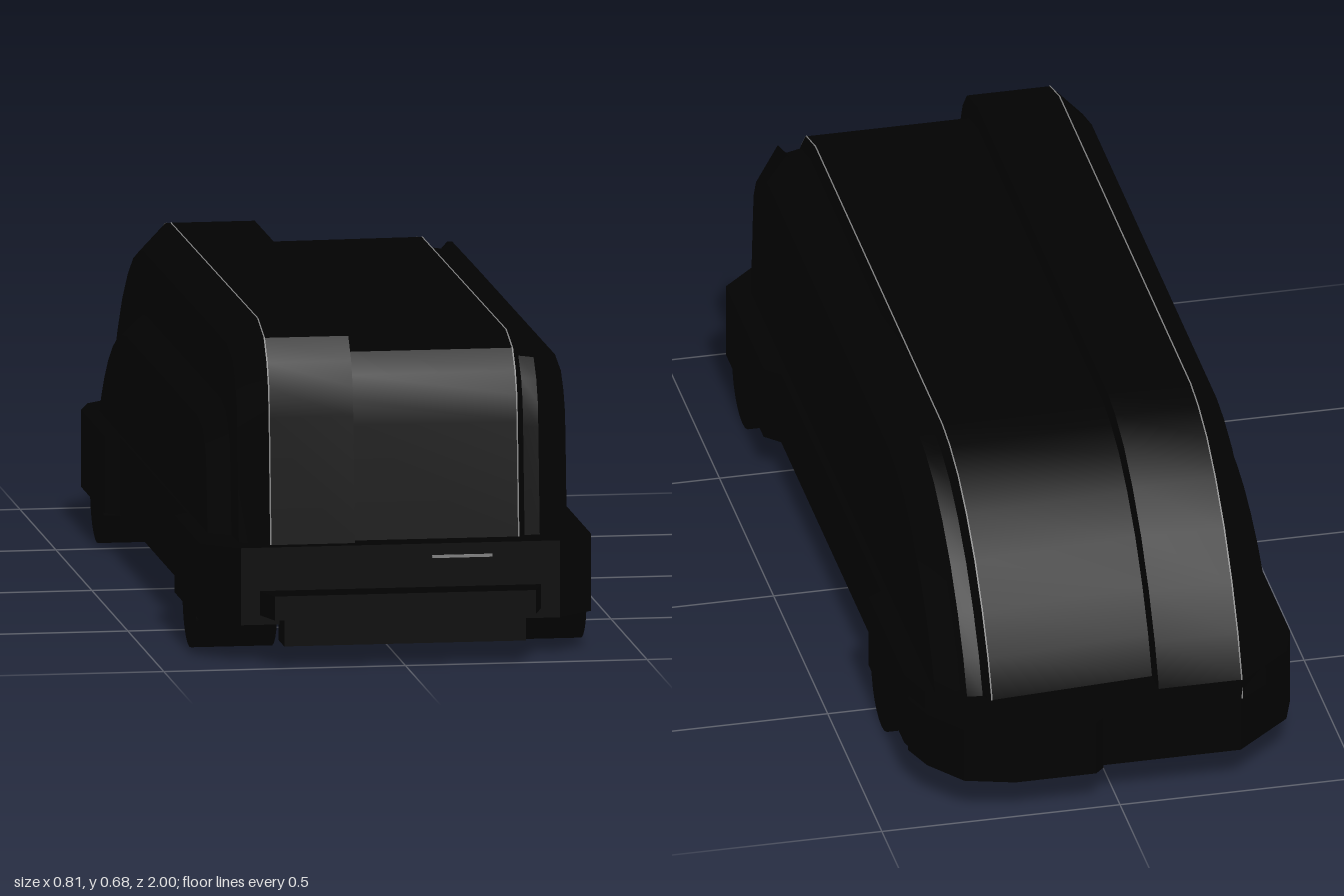
import * as THREE from 'three';
import { toCreasedNormals } from 'three/addons/utils/BufferGeometryUtils.js';

function material(name, color) {
  const m = new THREE.MeshStandardMaterial({ color, side: THREE.DoubleSide });
  m.name = name;
  return m;
}
const black = material('black', 0x020202);
const grey = material('trimGrey', 0x808080);

// Side profile as [z, y], from the nose over the roof to the sloping tail
const BASE = 0.2, ROOF = 0.68;
const profile = [
  [0.905, BASE], [0.88, 0.5], [0.872, 0.56], [0.85, 0.61], [0.81, 0.655], [0.72, 0.68],
  [-0.49, 0.675], [-0.56, 0.662], [-0.64, 0.632], [-0.72, 0.58], [-0.8, 0.508],
  [-0.87, 0.42], [-0.925, 0.33], [-0.96, 0.25], [-0.968, BASE],
];

// Lofts the profile across x; each station is [x, inset, height factor, tail inset]
function loftBody(stations) {
  const n = profile.length, pos = [], idx = [];
  for (const [x, d, flat = 1, tail = d * 0.85] of stations) {
    const ky = flat * (ROOF - d - BASE) / (ROOF - BASE);
    for (const [z, y] of profile) {
      const kz = z > 0 ? 1 - d * 0.75 / 0.9 : 1 - tail / 0.97;
      pos.push(x, BASE + (y - BASE) * ky, z * kz);
    }
  }
  for (let s = 0; s < stations.length - 1; s++) {
    for (let i = 0; i < n - 1; i++) {
      const a = s * n + i, b = a + n;
      idx.push(a, b, a + 1, b, b + 1, a + 1);
    }
  }
  const g = new THREE.BufferGeometry();
  g.setAttribute('position', new THREE.Float32BufferAttribute(pos, 3));
  g.setIndex(idx);
  return toCreasedNormals(g, 0.45);
}

// Extrudes a plan outline of [x, z] points from y0 to y1
function planExtrude(points, y0, y1, hole) {
  const toVec = ([x, z]) => new THREE.Vector2(x, -z);
  const shape = new THREE.Shape(points.map(toVec));
  if (hole) shape.holes.push(new THREE.Path(hole.map(toVec)));
  const g = new THREE.ExtrudeGeometry(shape, { depth: y1 - y0, bevelEnabled: false });
  return g.rotateX(-Math.PI / 2).translate(0, y0, 0);
}

const mirrorPlan = half => [...half, ...half.map(([x, z]) => [-x, z]).reverse()];

export function createModel() {
  const model = new THREE.Group();
  const add = (name, geometry, mat = black) => {
    const m = new THREE.Mesh(geometry, mat);
    m.name = name;
    model.add(m);
    return m;
  };

  // Hollow upper shell with a stepped roof: low side ledge, raised ridge, recessed panel, groove
  add('bodyShell', loftBody([
    [-0.37, 0.22, 0], [-0.37, 0.22], [-0.325, 0.18], [-0.324, 0.055], [-0.265, 0],
    [-0.09, 0], [-0.088, 0.04, 1, 0.055], [0.255, 0.04, 1, 0.03], [0.268, 0.06], [0.3, 0.065],
    [0.315, 0.05], [0.36, 0.1], [0.36, 0.1, 0],
  ]));

  // Hairline trim along the roof edges
  add('ridgeTrim', loftBody([[-0.2655, -0.001], [-0.2625, -0.001]]), grey);
  add('panelTrim', loftBody([[0.252, 0.039, 1, 0.029], [0.255, 0.039, 1, 0.029]]), grey);

  // Thin lower skirt with wider fenders at the corners, open underneath
  add('skirt', planExtrude(
    mirrorPlan([[0.27, 0.93], [0.33, 0.93], [0.405, 0.86], [0.405, 0.51], [0.375, 0.48],
      [0.375, -0.44], [0.405, -0.46], [0.405, -0.79], [0.38, -0.865], [0.26, -0.97]]),
    0.08, 0.24,
    mirrorPlan([[0.26, 0.8], [0.345, 0.72], [0.345, -0.74], [0.23, -0.89]]),
  ));

  // Rear bumper covering one side of the tail
  add('rearBumper', planExtrude(
    [[0.03, -0.94], [0.03, -0.98], [0.05, -1], [0.22, -1], [0.32, -0.97], [0.38, -0.89],
      [0.404, -0.82], [0.38, -0.76]], 0.08, 0.2));

  // Front bumper: tapered upper bar over a narrower lower bar
  add('frontBumperBar', planExtrude(
    [[0.3, 0.9], [0.27, 1], [-0.27, 1], [-0.3, 0.9]], 0.1, 0.15));
  const lower = add('frontBumperLower', new THREE.BoxGeometry(0.5, 0.065, 0.08));
  lower.position.set(0, 0.0775, 0.955);

  // Thin front strip above the bumper
  const strip = add('frontTrim', new THREE.BoxGeometry(0.125, 0.006, 0.004), grey);
  strip.position.set(0.128, 0.213, 0.931);

  // Wheels
  const wheel = new THREE.CylinderGeometry(0.095, 0.095, 0.168, 24).rotateZ(Math.PI / 2);
  for (const [end, z] of [['front', 0.71], ['rear', -0.575]]) {
    for (const side of [1, -1]) {
      add(end + (side > 0 ? 'Left' : 'Right') + 'Wheel', wheel).position.set(side * 0.32, 0.095, z);
    }
  }
  return model;
}
